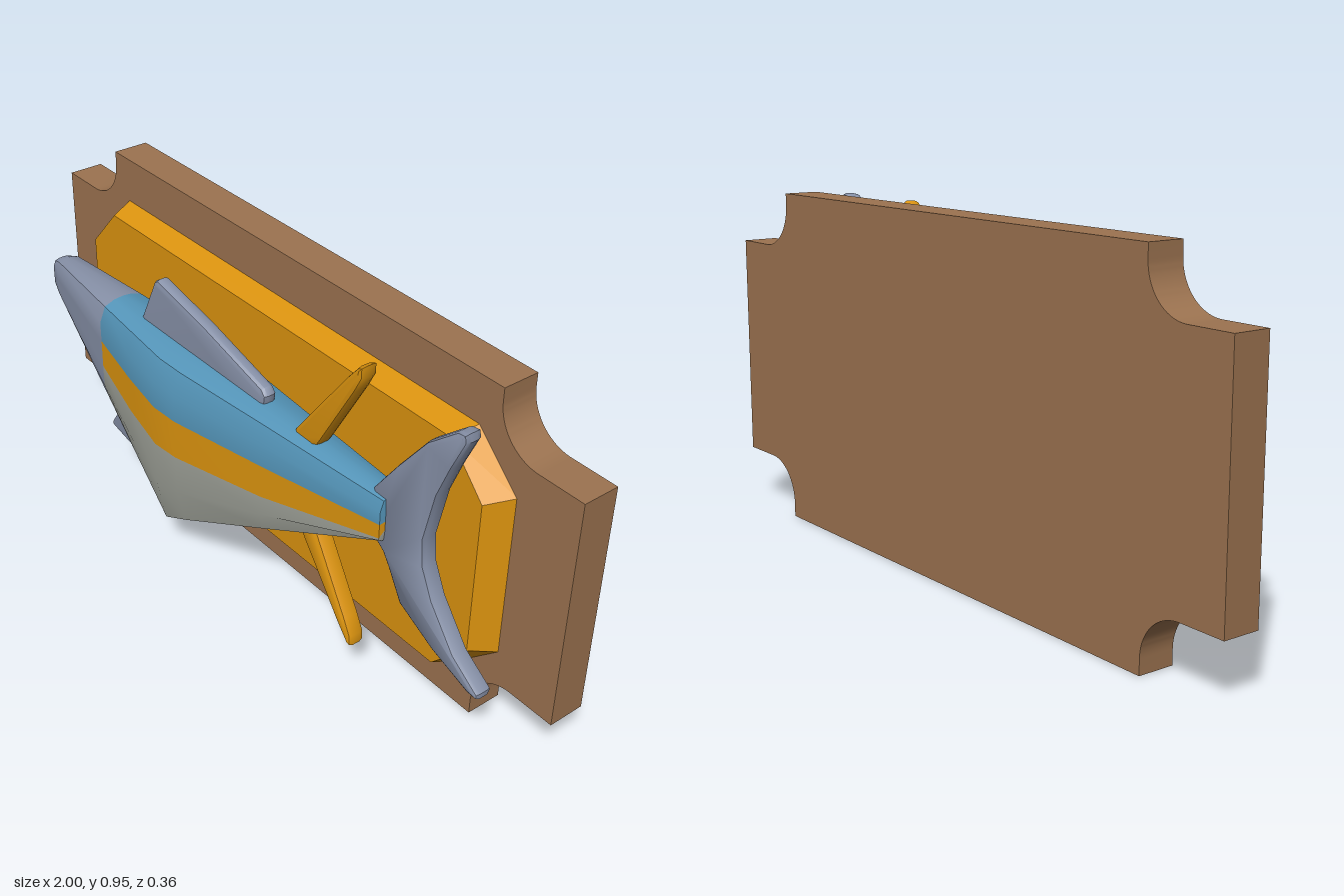
import * as THREE from 'three';
import { toCreasedNormals } from 'three/addons/utils/BufferGeometryUtils.js';

const mat = (name, color) => {
  const m = new THREE.MeshStandardMaterial({ color });
  m.name = name;
  return m;
};

const FISH_Z = 0.07;

// Fish stations: x, top, bottom, half width, upper stripe edge, lower stripe edge
const STATIONS = [
  [-0.843, 0.602, 0.602, 0, 0.602, 0.602],
  [-0.84, 0.622, 0.58, 0.018, 0.604, 0.594],
  [-0.825, 0.642, 0.556, 0.031, 0.602, 0.582],
  [-0.79, 0.654, 0.53, 0.04, 0.598, 0.57],
  [-0.51, 0.656, 0.32, 0.076, 0.54, 0.46],
  [-0.35, 0.656, 0.198, 0.094, 0.51, 0.405],
  [-0.21, 0.655, 0.09, 0.11, 0.497, 0.38],
  [-0.12, 0.655, 0.139, 0.107, 0.498, 0.385],
  [0.2, 0.654, 0.313, 0.076, 0.53, 0.437],
  [0.595, 0.65, 0.527, 0.04, 0.578, 0.54],
  [0.602, 0.59, 0.59, 0, 0.59, 0.59],
];

// Half cross-section from back ridge to keel, as [x, y, z]
function halfSection([x, top, bot, w, s1, s2]) {
  const up = (t) => THREE.MathUtils.lerp(top, s1, t);
  const low = (t) => THREE.MathUtils.lerp(s2, bot, t);
  return [
    [top, 0], [up(0.02), 0.36], [up(0.12), 0.77], [up(0.5), 1], [s1, 1],
    [s2, 1], [low(0.45), 1], [low(0.88), 0.77], [bot, 0],
  ].map(([y, k]) => [x, y, k * w]);
}

// Skin between stations j0..j1 and section points i0..i1, on both sides
function skin(j0, j1, i0, i1) {
  const rings = STATIONS.map(halfSection);
  const pos = [];
  for (const side of [1, -1]) {
    for (let j = j0; j < j1; j++) {
      for (let i = i0; i < i1; i++) {
        const a = rings[j][i], d = rings[j][i + 1];
        const b = rings[j + 1][i + 1], c = rings[j + 1][i];
        const quad = side > 0 ? [a, d, b, a, b, c] : [a, b, d, a, c, b];
        for (const p of quad) pos.push(p[0], p[1], FISH_Z + side * p[2]);
      }
    }
  }
  const g = new THREE.BufferGeometry();
  g.setAttribute('position', new THREE.Float32BufferAttribute(pos, 3));
  return toCreasedNormals(g, 0.5);
}

// Bevelled fin blade centred on the fish's middle plane
function fin(points, thickness, bevel) {
  const shape = new THREE.Shape(points.map(([x, y]) => new THREE.Vector2(x, y)));
  const bt = thickness * 0.28;
  const g = new THREE.ExtrudeGeometry(shape, {
    depth: thickness - 2 * bt, bevelThickness: bt, bevelSize: bevel,
    bevelOffset: -bevel, bevelSegments: 2,
  });
  g.translate(0, 0, FISH_Z - thickness / 2 + bt);
  return toCreasedNormals(g, 0.6);
}

// Board outline with a concave round notch at each corner
function boardGeometry() {
  const s = new THREE.Shape();
  const r = 0.12, cx = 0.87, lo = 0.04, hi = 0.915, P = Math.PI;
  s.moveTo(-0.75, 0);
  s.lineTo(0.75, 0);
  s.absarc(cx, lo, r, P, P / 2, true);
  s.lineTo(1, lo + r);
  s.lineTo(1, hi - r);
  s.absarc(cx, hi, r, -P / 2, -P, true);
  s.lineTo(0.75, 0.95);
  s.lineTo(-0.75, 0.95);
  s.absarc(-cx, hi, r, 0, -P / 2, true);
  s.lineTo(-1, hi - r);
  s.lineTo(-1, lo + r);
  s.absarc(-cx, lo, r, P / 2, 0, true);
  s.lineTo(-0.75, 0);
  const g = new THREE.ExtrudeGeometry(s, { depth: 0.1, bevelEnabled: false, curveSegments: 12 });
  g.translate(0, 0, -0.18);
  return toCreasedNormals(g, 0.5);
}

// Octagonal panel tapering towards the front
function panelGeometry() {
  const octagon = (w, h, cw, ch, z) => [
    [cw, -h], [w, -ch], [w, ch], [cw, h], [-cw, h], [-w, ch], [-w, -ch], [-cw, -h],
  ].map(([x, y]) => [x, y + 0.476, z]);
  const back = octagon(0.82, 0.35, 0.69, 0.224, -0.082);
  const front = octagon(0.78, 0.331, 0.67, 0.212, -0.015);
  const pos = [];
  for (let i = 0; i < 8; i++) {
    const k = (i + 1) % 8;
    pos.push(...back[i], ...back[k], ...front[k], ...back[i], ...front[k], ...front[i]);
    pos.push(0, 0.476, -0.015, ...front[i], ...front[k]);
  }
  const g = new THREE.BufferGeometry();
  g.setAttribute('position', new THREE.Float32BufferAttribute(pos, 3));
  g.computeVertexNormals();
  return g;
}

export function createModel() {
  const wood = mat('wood brown', 0x9c7350);
  const gold = mat('gold', 0xdc940f);
  const blue = mat('back blue', 0x5596ba);
  const slate = mat('slate grey', 0x8791a8);
  const pale = mat('belly grey', 0x9fa299);

  const model = new THREE.Group();
  model.name = 'mountedFish';
  const add = (name, geometry, material, parent = model) => {
    const m = new THREE.Mesh(geometry, material);
    m.name = name;
    parent.add(m);
  };

  // Plaque
  add('board', boardGeometry(), wood);
  add('panel', panelGeometry(), gold);

  // Fish body in colour bands
  const fish = new THREE.Group();
  fish.name = 'fish';
  model.add(fish);
  const last = STATIONS.length - 1;
  add('head', skin(0, 4, 0, 8), slate, fish);
  add('back', skin(4, last, 0, 4), blue, fish);
  add('stripe', skin(4, last, 4, 5), gold, fish);
  add('belly', skin(4, last, 5, 8), pale, fish);

  // Grey fins
  add('dorsalFin', fin([
    [-0.42, 0.6], [-0.385, 0.665], [-0.325, 0.787], [-0.31, 0.797], [-0.1, 0.753],
    [0.13, 0.692], [0.145, 0.675], [0.14, 0.64], [0.1, 0.6],
  ], 0.04, 0.014), slate, fish);
  add('lowerFin', fin([
    [-0.48, 0.36], [-0.575, 0.225], [-0.582, 0.208], [-0.57, 0.202], [-0.45, 0.178],
    [-0.27, 0.155], [-0.22, 0.2], [-0.3, 0.36],
  ], 0.04, 0.014), slate, fish);
  add('tailFin', fin([
    [0.55, 0.52], [0.59, 0.49], [0.61, 0.46], [0.655, 0.38], [0.77, 0.32], [0.89, 0.278],
    [0.92, 0.278], [0.92, 0.292], [0.837, 0.35], [0.757, 0.455], [0.722, 0.53], [0.715, 0.6],
    [0.745, 0.74], [0.78, 0.83], [0.818, 0.915], [0.814, 0.935], [0.79, 0.932],
    [0.705, 0.86], [0.62, 0.75], [0.548, 0.65],
  ], 0.05, 0.01), slate, fish);

  // Paired gold fins, the lower one mirrored about y = 0.53
  const blade = [
    [0.25, 0.62], [0.33, 0.62], [0.36, 0.67], [0.47, 0.86], [0.493, 0.905],
    [0.493, 0.935], [0.478, 0.93], [0.44, 0.885], [0.27, 0.66],
  ];
  add('upperGoldFin', fin(blade, 0.05, 0.01), gold, fish);
  add('lowerGoldFin', fin(blade.map(([x, y]) => [x, 1.06 - y]).reverse(), 0.05, 0.01), gold, fish);

  return model;
}
